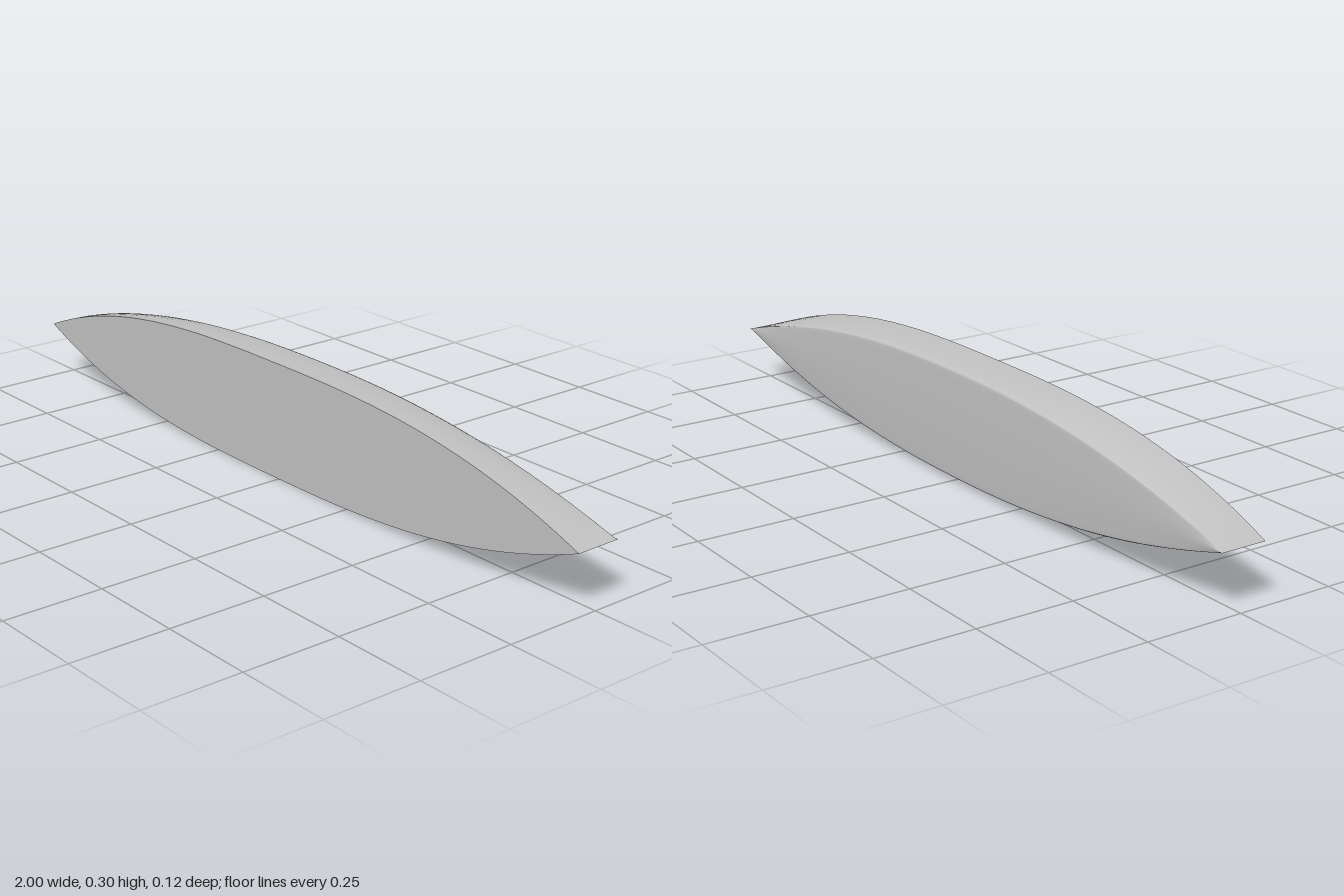
import * as THREE from 'three';

const HALF_BEAM = 0.149, MID_Y = 0.15, DECK_Z = 0.06, CHINE_Z = -0.054, KEEL_Z = -0.059;
const STATIONS = 64;

// Half width of the hull at the deck edge and at the chine
const deckWidth = x => HALF_BEAM * (1 - Math.abs(x) ** (x < 0 ? 2.9 : 2.7));
const chineWidth = x => 0.139 * (1 - Math.abs(x) ** 2.3);

// Stations lie closer together towards the pointed ends
const stationX = i => -Math.cos((i / STATIONS) * Math.PI);

// Half section from deck edge to keel, as [half width, z]
function halfSection(x) {
  const w = deckWidth(x), c = chineWidth(x);
  const side = [0, 0.25, 0.5, 0.75, 0.92].map(t => [
    THREE.MathUtils.lerp(w, c, t * t),
    THREE.MathUtils.lerp(DECK_Z, CHINE_Z, t),
  ]);
  const bottom = [[0.995, -0.051], [0.98, -0.0545], [0.95, -0.0555], [0.85, -0.0562], [0.45, -0.0578], [0, KEEL_Z]]
    .map(([k, z]) => [c * k, z]);
  return [...side, ...bottom];
}

// Smooth skin lofted through the stations, from one deck edge round the keel to the other
function hullGeometry() {
  const positions = [], indices = [];
  let columns = 0;
  for (let i = 0; i <= STATIONS; i++) {
    const x = stationX(i);
    const half = halfSection(x);
    const mirrored = half.slice(0, -1).reverse().map(([w, z]) => [-w, z]);
    const section = [...half, ...mirrored];
    columns = section.length;
    for (const [w, z] of section) positions.push(x, MID_Y + w, z);
  }
  for (let i = 0; i < STATIONS; i++) {
    for (let j = 0; j < columns - 1; j++) {
      const a = i * columns + j, b = a + columns;
      indices.push(a, b, a + 1, b, b + 1, a + 1);
    }
  }
  const geometry = new THREE.BufferGeometry();
  geometry.setAttribute('position', new THREE.Float32BufferAttribute(positions, 3));
  geometry.setIndex(indices);
  geometry.computeVertexNormals();
  return geometry;
}

// Flat deck with the lens-shaped outline
function deckGeometry() {
  const outline = [];
  for (let i = 0; i <= STATIONS; i++) {
    const x = stationX(i);
    outline.push(new THREE.Vector2(x, MID_Y - deckWidth(x)));
  }
  for (let i = STATIONS - 1; i > 0; i--) {
    const x = stationX(i);
    outline.push(new THREE.Vector2(x, MID_Y + deckWidth(x)));
  }
  return new THREE.ShapeGeometry(new THREE.Shape(outline)).translate(0, 0, DECK_Z);
}

export function createModel() {
  const model = new THREE.Group();
  model.name = 'boatHull';

  const grey = new THREE.MeshStandardMaterial({ color: 0xc0c0c0 });
  grey.name = 'light grey';

  const hull = new THREE.Mesh(hullGeometry(), grey);
  hull.name = 'hullSkin';
  const deck = new THREE.Mesh(deckGeometry(), grey);
  deck.name = 'deck';

  model.add(hull, deck);
  return model;
}
